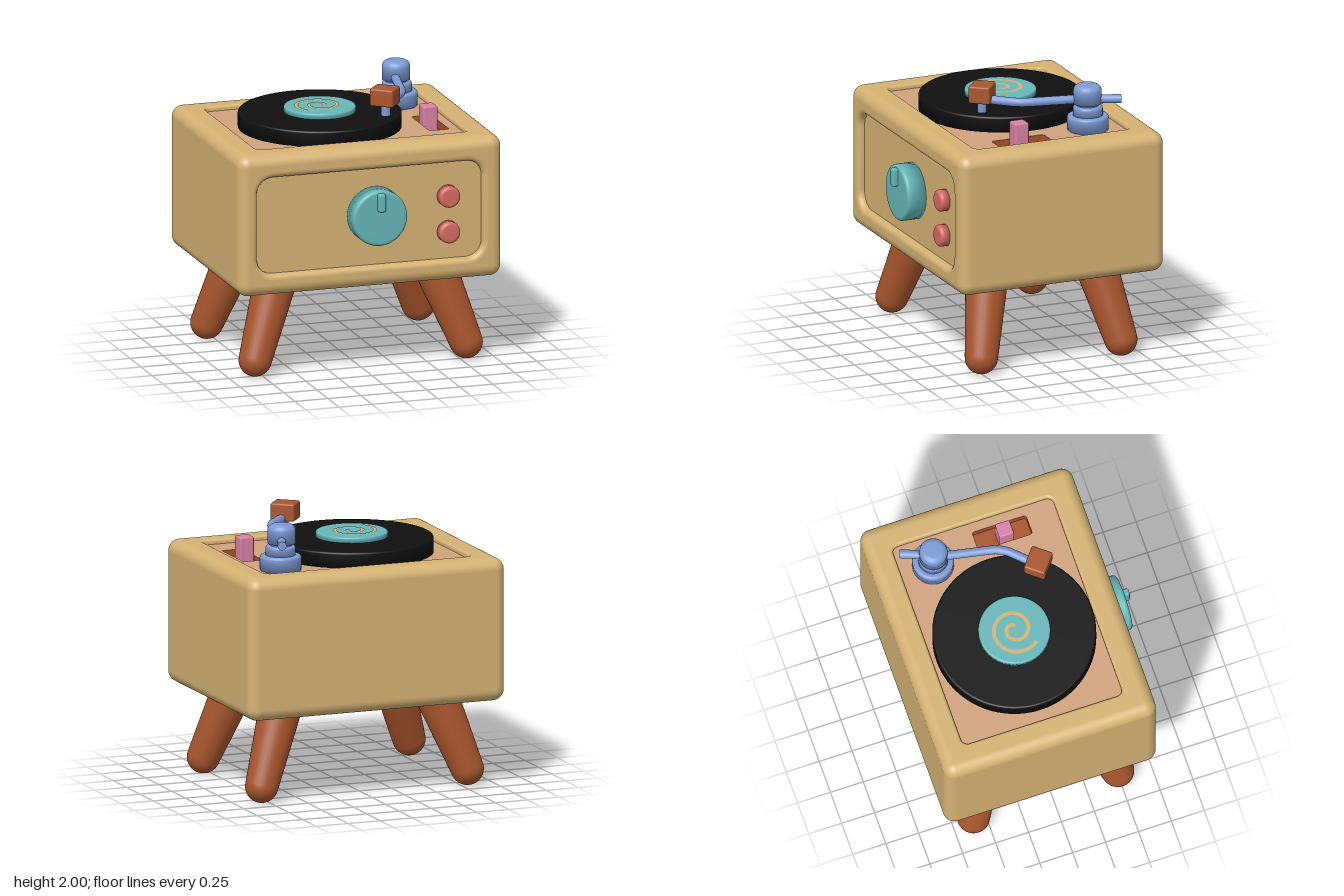
import * as THREE from 'three';
import { RoundedBoxGeometry } from 'three/addons/geometries/RoundedBoxGeometry.js';

const mat = (name, color, side = THREE.FrontSide) => {
  const m = new THREE.MeshStandardMaterial({ color, side });
  m.name = name;
  return m;
};

export function createModel() {
  const tan = mat('tan', 0xd4b273);
  const peach = mat('peach', 0xd0a27d);
  const black = mat('black', 0x101010);
  const teal = mat('teal', 0x66b6b9);
  const blue = mat('blue', 0x7d9ad4);
  const brown = mat('brown', 0xa8552c);
  const pink = mat('pink', 0xd881a6);
  const red = mat('red', 0xd66a64);

  const model = new THREE.Group();
  model.name = 'recordPlayer';
  const add = (name, geometry, material, x = 0, y = 0, z = 0, parent = model) => {
    const mesh = new THREE.Mesh(geometry, material);
    mesh.name = name;
    mesh.position.set(x, y, z);
    parent.add(mesh);
    return mesh;
  };

  // Round disc standing on y = 0, with softened rims
  const puck = (r, h, bevel, sides = 48) => {
    const pts = [new THREE.Vector2(0, 0), new THREE.Vector2(r, 0)];
    for (let i = 0; i <= 5; i++) {
      const a = (i / 5) * Math.PI / 2;
      pts.push(new THREE.Vector2(r - bevel + bevel * Math.cos(a), h - bevel + bevel * Math.sin(a)));
    }
    pts.push(new THREE.Vector2(0, h));
    return new THREE.LatheGeometry(pts, sides);
  };

  // Counter-clockwise rounded rectangle, grown outward by e
  const roundedLoop = ([x0, y0, x1, y1], r, e = 0) => {
    const pts = [];
    const corners = [[x1 - r, y1 - r], [x0 + r, y1 - r], [x0 + r, y0 + r], [x1 - r, y0 + r]];
    corners.forEach(([cx, cy], k) => {
      for (let i = 0; i <= 8; i++) {
        const a = (k + i / 8) * Math.PI / 2;
        pts.push(new THREE.Vector2(cx + (r + e) * Math.cos(a), cy + (r + e) * Math.sin(a)));
      }
    });
    return pts;
  };
  const rectLoop = ([x0, y0, x1, y1]) =>
    [[x0, y0], [x1, y0], [x1, y1], [x0, y1]].map(p => new THREE.Vector2(...p));
  const plate = (outer, hole) => {
    const shape = new THREE.Shape(outer);
    if (hole) shape.holes.push(new THREE.Path(hole));
    return new THREE.ShapeGeometry(shape);
  };

  // Rolled lip leading from a flat face down to a recessed floor
  const lipGeometry = (rect, r, lip, depth) => {
    const rings = [];
    for (let i = 0; i <= 6; i++) {
      const a = (i / 6) * Math.PI / 2;
      rings.push([lip * (1 - Math.sin(a)), -lip * (1 - Math.cos(a))]);
    }
    rings.push([0, -depth]);
    const pos = [], idx = [];
    rings.forEach(([e, z]) => roundedLoop(rect, r, e).forEach(p => pos.push(p.x, p.y, z)));
    const n = pos.length / 3 / rings.length;
    for (let k = 0; k < rings.length - 1; k++) {
      for (let i = 0; i < n; i++) {
        const a = k * n + i, b = k * n + (i + 1) % n;
        idx.push(a, b, a + n, b, b + n, a + n);
      }
    }
    const g = new THREE.BufferGeometry();
    g.setAttribute('position', new THREE.Float32BufferAttribute(pos, 3));
    g.setIndex(idx);
    g.computeVertexNormals();
    return g;
  };

  // Cabinet shell: rounded box with its flat front and top left open
  const R = 0.085, X = 1, Y0 = 0.65, Y1 = 1.7, Z0 = -0.87, Z1 = 0.74;
  const box = new RoundedBoxGeometry(2 * X, Y1 - Y0, Z1 - Z0, 6, R);
  const p = box.attributes.position, nrm = box.attributes.normal;
  const keptPos = [], keptNrm = [];
  for (let i = 0; i < p.count; i += 3) {
    const tri = [i, i + 1, i + 2];
    if (tri.every(j => nrm.getZ(j) > 0.9999) || tri.every(j => nrm.getY(j) > 0.9999)) continue;
    tri.forEach(j => {
      keptPos.push(p.getX(j), p.getY(j), p.getZ(j));
      keptNrm.push(nrm.getX(j), nrm.getY(j), nrm.getZ(j));
    });
  }
  const shell = new THREE.BufferGeometry();
  shell.setAttribute('position', new THREE.Float32BufferAttribute(keptPos, 3));
  shell.setAttribute('normal', new THREE.Float32BufferAttribute(keptNrm, 3));
  add('cabinet', shell, tan, 0, (Y0 + Y1) / 2, (Z0 + Z1) / 2);

  // Front face with recessed control panel
  const frontHole = [-0.86, 0.81, 0.85, 1.53];
  const frontFlat = rectLoop([-X + R, Y0 + R, X - R, Y1 - R]);
  add('frontFrame', plate(frontFlat, roundedLoop(frontHole, 0.12, 0.04)), tan, 0, 0, Z1);
  add('frontLip', lipGeometry(frontHole, 0.12, 0.04, 0.055), tan, 0, 0, Z1);
  add('frontPanel', plate(roundedLoop(frontHole, 0.12)), tan, 0, 0, Z1 - 0.055);

  // Top face, drawn with v = -z and laid flat
  const topHole = [-0.8, -0.54, 0.8, 0.68];
  const slot = [0.58, -0.32, 0.73, 0.09];
  const deck = new THREE.Group();
  deck.name = 'deck';
  deck.rotation.x = -Math.PI / 2;
  deck.position.y = Y1;
  model.add(deck);
  const topFlat = rectLoop([-X + R, -Z1 + R, X - R, -Z0 - R]);
  add('topFrame', plate(topFlat, roundedLoop(topHole, 0.05, 0.02)), tan, 0, 0, 0, deck);
  add('topLip', lipGeometry(topHole, 0.05, 0.02, 0.035), tan, 0, 0, 0, deck);
  add('topPanel', plate(roundedLoop(topHole, 0.05), roundedLoop(slot, 0.02)), peach, 0, 0, -0.035, deck);
  add('slotWalls', lipGeometry(slot, 0.02, 0.002, 0.06), brown, 0, 0, -0.035, deck);
  add('slotFloor', plate(roundedLoop(slot, 0.02)), brown, 0, 0, -0.095, deck);
  add('slider', new RoundedBoxGeometry(0.11, 0.2, 0.11, 2, 0.012), pink, 0.635, 1.705, 0.125);

  // Knob with pointer, and two buttons
  const knob = add('knob', puck(0.207, 0.15, 0.025), teal, 0.04, 1.185, Z1 - 0.06);
  knob.rotation.x = Math.PI / 2;
  add('knobPointer', new RoundedBoxGeometry(0.055, 0.135, 0.06, 3, 0.015), teal, 0.043, 1.307, 0.84);
  for (const y of [1.275, 1.01]) {
    add('button', puck(0.08, 0.075, 0.025, 32), red, 0.595, y, Z1 - 0.06).rotation.x = Math.PI / 2;
  }

  // Record, label and spiral
  add('record', puck(0.59, 0.115, 0.015, 72), black, -0.125, 1.665, -0.06);
  add('label', puck(0.26, 0.05, 0.012, 64), teal, -0.125, 1.77, -0.06);
  const sp = [], si = [], steps = 120;
  for (let i = 0; i <= steps; i++) {
    const t = i / steps, a = THREE.MathUtils.degToRad(137 + 620 * t), r = 0.185 - 0.158 * t;
    for (const d of [-0.014, 0.014]) sp.push((r + d) * Math.cos(a), 0, (r + d) * Math.sin(a));
    if (i < steps) si.push(2 * i, 2 * i + 2, 2 * i + 1, 2 * i + 2, 2 * i + 3, 2 * i + 1);
  }
  const spiral = new THREE.BufferGeometry();
  spiral.setAttribute('position', new THREE.Float32BufferAttribute(sp, 3));
  spiral.setIndex(si);
  spiral.computeVertexNormals();
  add('labelSpiral', spiral, tan, -0.125, 1.823, -0.06);

  // Tonearm: stacked pivot, bent arm, cartridge and stylus
  add('armBase', puck(0.15, 0.11, 0.02), blue, 0.585, 1.665, -0.435);
  add('armCollar', puck(0.108, 0.08, 0.02), blue, 0.585, 1.765, -0.435);
  add('armNeck', new THREE.CylinderGeometry(0.08, 0.08, 0.06, 32), blue, 0.58, 1.85, -0.435);
  add('armPivot', new RoundedBoxGeometry(0.1, 0.1, 0.1, 1, 0.01), blue, 0.578, 1.9, -0.435);
  add('armPivotCap', puck(0.102, 0.14, 0.045), blue, 0.578, 1.86, -0.435);
  const v = (x, z) => new THREE.Vector3(x, 1.888, z);
  const arm = new THREE.CurvePath();
  arm.add(new THREE.LineCurve3(v(0.56, -0.42), v(0.484, -0.04)));
  arm.add(new THREE.QuadraticBezierCurve3(v(0.484, -0.04), v(0.468, 0.04), v(0.42, 0.095)));
  arm.add(new THREE.LineCurve3(v(0.42, 0.095), v(0.29, 0.23)));
  add('arm', new THREE.TubeGeometry(arm, 40, 0.032, 16), blue);
  const tail = add('armTail', new THREE.CylinderGeometry(0.032, 0.032, 0.26, 20), blue, 0.62, 1.888, -0.54);
  tail.quaternion.setFromUnitVectors(new THREE.Vector3(0, 1, 0), new THREE.Vector3(0.36, 0, -0.93).normalize());
  add('cartridge', new RoundedBoxGeometry(0.18, 0.13, 0.16, 3, 0.015), brown, 0.263, 1.935, 0.255).rotation.y = -0.68;
  add('stylus', new THREE.CylinderGeometry(0.033, 0.033, 0.1, 20), blue, 0.27, 1.84, 0.258);

  // Splayed tapering legs with rounded feet
  const legPts = [];
  for (let i = 0; i <= 8; i++) {
    const a = (i / 8) * Math.PI / 2;
    legPts.push(new THREE.Vector2(0.12 * Math.sin(a), -0.12 * Math.cos(a)));
  }
  legPts.push(new THREE.Vector2(0.155, 0.58), new THREE.Vector2(0.158, 0.66));
  const legGeo = new THREE.LatheGeometry(legPts, 32);
  for (const side of [-1, 1]) {
    for (const [name, zTop, zFoot] of [['frontLeg', 0.37, 0.495], ['backLeg', -0.485, -0.6]]) {
      const foot = new THREE.Vector3(side * 0.8, 0.12, zFoot);
      const axis = new THREE.Vector3(side * 0.61, 0.65, zTop).sub(foot).normalize();
      add(name, legGeo, brown, ...foot.toArray()).quaternion.setFromUnitVectors(new THREE.Vector3(0, 1, 0), axis);
    }
  }
  return model;
}
